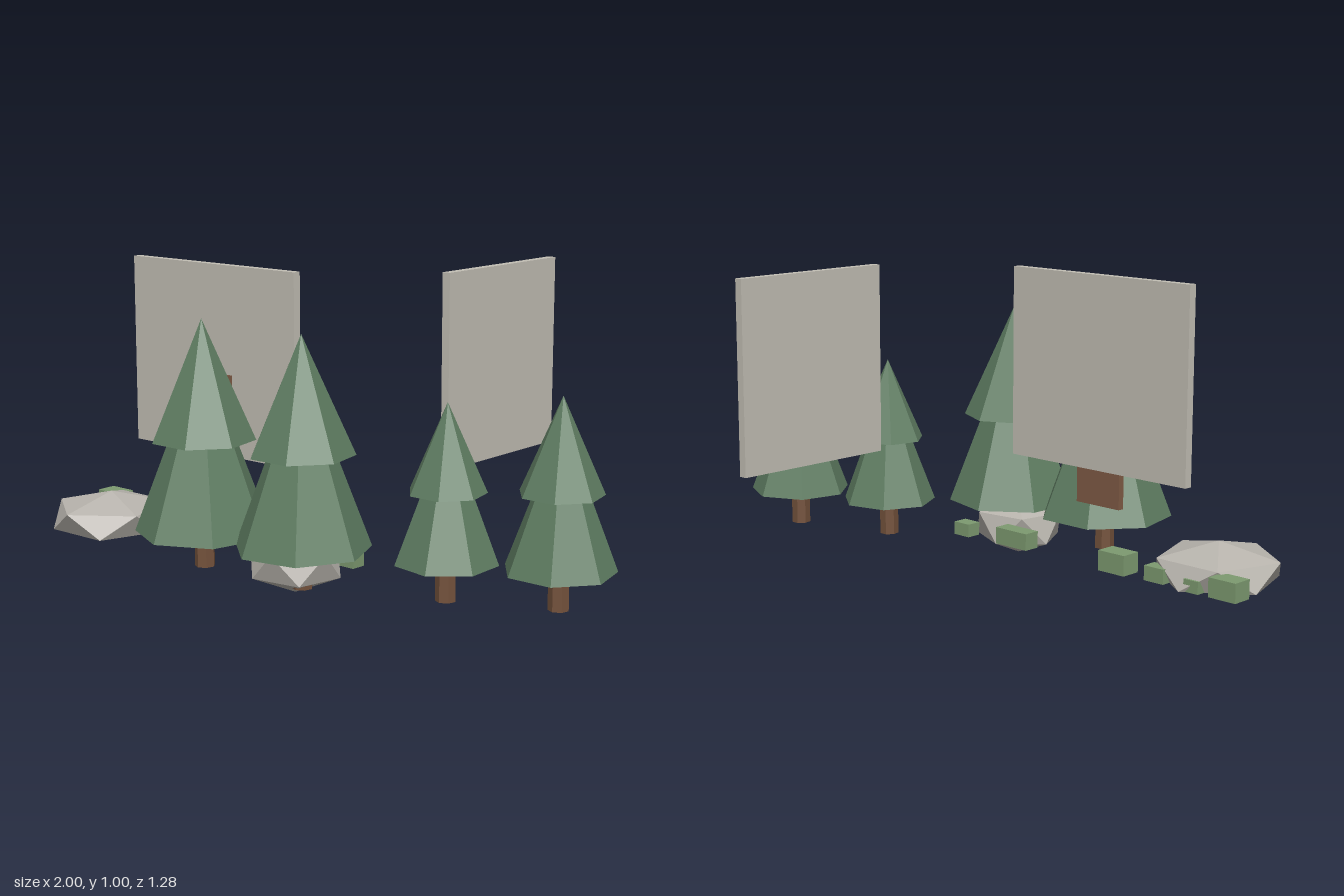
import * as THREE from 'three';

const mat = (name, color) => {
  const m = new THREE.MeshStandardMaterial({ color });
  m.name = name;
  m.flatShading = true;
  return m;
};

export function createModel() {
  const foliage = mat('foliage green', 0x5f7d62);
  const bark = mat('bark brown', 0x74523c);
  const doorBrown = mat('door brown', 0x7f5b45);
  const plaster = mat('wall grey', 0xc2beb4);
  const stone = mat('stone grey', 0xb8b4ad);
  const shrub = mat('shrub green', 0x7d9a70);

  const group = new THREE.Group();
  const add = (parent, name, geometry, material, x, y, z) => {
    const mesh = new THREE.Mesh(geometry, material);
    mesh.name = name;
    mesh.position.set(x, y, z);
    parent.add(mesh);
    return mesh;
  };
  const box = (name, material, [x, y, z], [w, h, d]) =>
    add(group, name, new THREE.BoxGeometry(w, h, d), material, x, y, z);

  // Free-standing wall panels and the door
  box('frontWall', plaster, [-0.38, 0.6875, 0.225], [0.72, 0.625, 0.028]);
  box('sideWall', plaster, [0.34, 0.6875, -0.353], [0.028, 0.625, 0.576]);
  box('door', doorBrown, [-0.38, 0.451, 0.235], [0.176, 0.388, 0.022]);

  // Two-tier conifers: seven-sided cones on a short trunk
  const tree = (t) => {
    const g = new THREE.Group();
    g.name = 'tree';
    g.position.set(t.x, 0, t.z);
    group.add(g);
    const trunkTop = t.low + 0.05;
    add(g, 'trunk', new THREE.CylinderGeometry(0.032, 0.033, trunkTop - t.foot, 7), bark,
      0, (trunkTop + t.foot) / 2, 0);
    const cone = (name, radius, base, height, turn) => {
      const m = add(g, name, new THREE.ConeGeometry(radius, height, 7), foliage, 0, base + height / 2, 0);
      m.rotation.y = turn;
    };
    cone('lowerBranches', t.lowR, t.low, (t.mid - t.low) * 1.95, t.turn);
    cone('upperBranches', t.midR, t.mid, t.tip - t.mid, Math.PI);
  };
  [
    { x: -0.248, z: 0.417, foot: 0.058, low: 0.172, lowR: 0.222, mid: 0.47, midR: 0.168, tip: 0.855, turn: 0 },
    { x: 0.124, z: 0.366, foot: 0.045, low: 0.171, lowR: 0.218, mid: 0.467, midR: 0.167, tip: 0.838, turn: -0.26 },
    { x: 0.5, z: 0.13, foot: 0.024, low: 0.144, lowR: 0.163, mid: 0.364, midR: 0.124, tip: 0.642, turn: 0.26 },
    { x: 0.825, z: 0, foot: 0.03, low: 0.15, lowR: 0.175, mid: 0.386, midR: 0.132, tip: 0.683, turn: Math.PI },
  ].forEach(tree);

  // Faceted boulders: flattened icosahedra standing on a corner
  const rock = (x, y, z, sx, sy, sz, turn) => {
    const geo = new THREE.IcosahedronGeometry(1, 0);
    geo.rotateZ(Math.atan(2 / (1 + Math.sqrt(5))));
    geo.rotateY(turn);
    geo.scale(sx, sy, sz);
    add(group, 'boulder', geo, stone, x, y, z);
  };
  rock(-0.788, 0.115, 0.325, 0.222, 0.085, 0.223, Math.PI / 2);
  rock(0.048, 0.108, 0.315, 0.168, 0.103, 0.155, Math.PI / 2 + 0.15);

  // Row of small clipped shrubs
  [
    [[-0.95, 0.115, 0.16], [0.1, 0.062, 0.07]],
    [[-0.825, 0.098, 0.16], [0.055, 0.04, 0.045]],
    [[-0.68, 0.105, 0.165], [0.075, 0.048, 0.05]],
    [[-0.522, 0.114, 0.16], [0.104, 0.066, 0.07]],
    [[-0.088, 0.11, 0.159], [0.135, 0.056, 0.058]],
    [[0.147, 0.098, 0.163], [0.066, 0.044, 0.052]],
  ].forEach(([p, s]) => box('shrub', shrub, p, s));

  return group;
}
